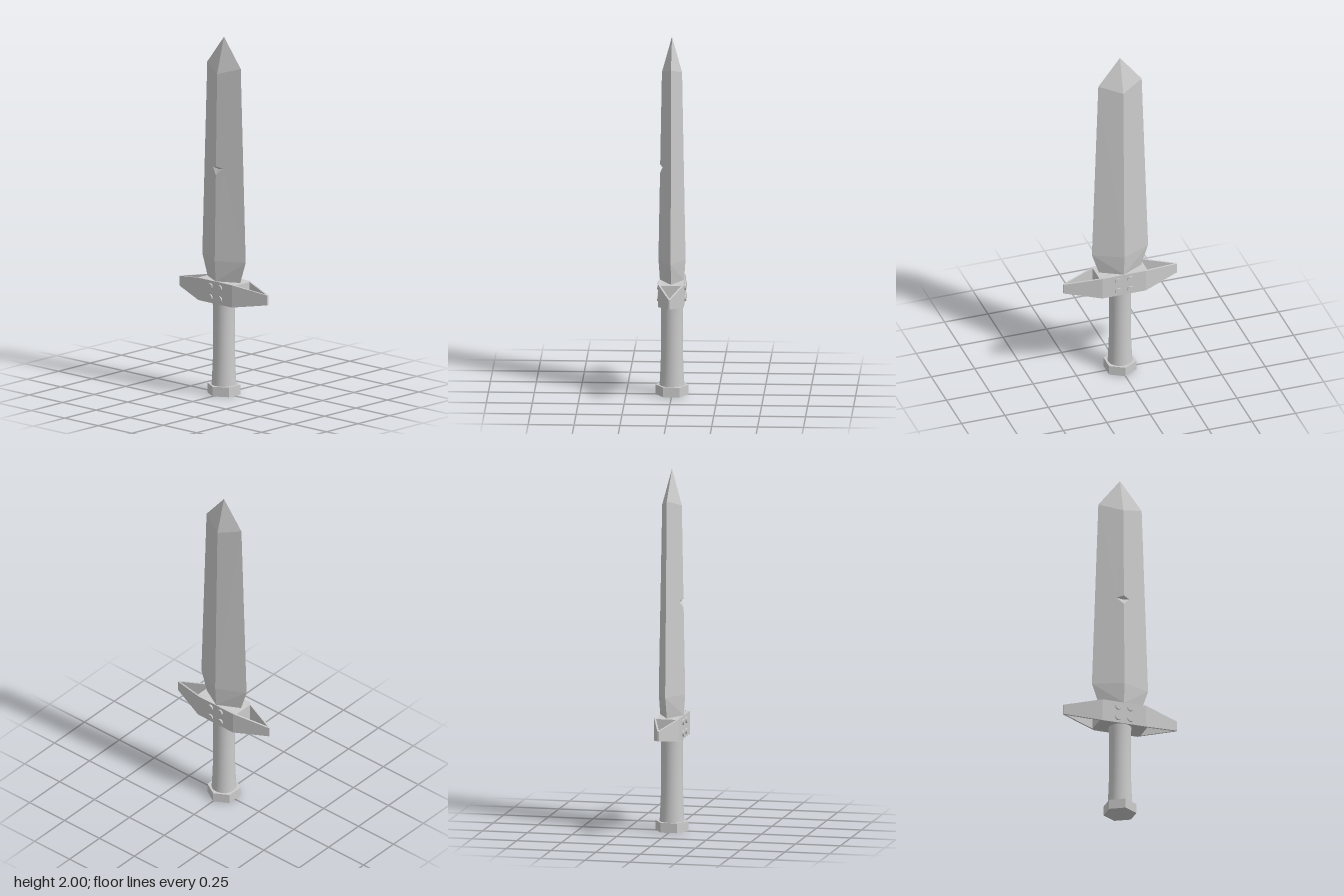
import * as THREE from 'three';

const smooth = new THREE.MeshStandardMaterial({ color: 0xcccccc });
const flat = new THREE.MeshStandardMaterial({ color: 0xcccccc, flatShading: true });

function add(group, name, geometry, material, x = 0, y = 0, z = 0) {
  const mesh = new THREE.Mesh(geometry, material);
  mesh.name = name;
  mesh.position.set(x, y, z);
  group.add(mesh);
  return mesh;
}

// Diamond-section blade; the front ridge carries a small chipped notch.
function bladeGeometry() {
  const edge = [[0.122, 0.64], [0.162, 0.76], [0.125, 1.84]].map(([x, y]) => new THREE.Vector3(x, y, 0));
  const ridge = [[0.64, 0.066], [0.755, 0.074], [1.8, 0.055]].map(([y, z]) => new THREE.Vector3(0, y, z));
  const tip = new THREE.Vector3(0, 2, 0);
  const onRidge = y => ridge[1].clone().lerp(ridge[2], (y - ridge[1].y) / (ridge[2].y - ridge[1].y));
  const positions = [];

  for (const sz of [1, -1]) for (const sx of [1, -1]) {
    // Mirrored triangle, wound so that it faces its own side of the blade
    const tri = (...corners) => {
      const p = corners.map(v => new THREE.Vector3(v.x * sx, v.y, v.z * sz));
      const n = p[1].clone().sub(p[0]).cross(p[2].clone().sub(p[0]));
      if (n.z * sz < 0) p.reverse();
      p.forEach(v => positions.push(v.x, v.y, v.z));
    };
    tri(ridge[0], edge[0], edge[1]);
    tri(ridge[0], edge[1], ridge[1]);
    tri(ridge[2], edge[2], tip);
    if (sz < 0) {
      tri(ridge[1], edge[1], edge[2]);
      tri(ridge[1], edge[2], ridge[2]);
      continue;
    }
    // Long front face, fanned around the notch
    const low = onRidge(1.235), high = onRidge(1.285);
    const deep = onRidge(1.268).setZ(0.047);
    const side = onRidge(1.274);
    side.x = 0.038;
    side.z *= 1 - side.x / 0.145;
    tri(edge[1], edge[2], side);
    tri(ridge[1], edge[1], side);
    tri(ridge[1], side, low);
    tri(edge[2], ridge[2], side);
    tri(high, side, ridge[2]);
    tri(low, side, deep);
    tri(side, high, deep);
  }
  const g = new THREE.BufferGeometry();
  g.setAttribute('position', new THREE.Float32BufferAttribute(positions, 3));
  g.computeVertexNormals();
  return g;
}

// Crossguard plan with a triangular opening in each arm, thinned toward the ends
function guardGeometry() {
  const bottom = 0.515, height = 0.125, mid = bottom + height / 2;
  const v = (x, y) => new THREE.Vector2(x, y);
  const shape = new THREE.Shape([
    v(0.125, -0.07), v(0.327, -0.005), v(0.327, 0.005), v(0.125, 0.07),
    v(-0.125, 0.07), v(-0.327, 0.005), v(-0.327, -0.005), v(-0.125, -0.07),
  ]);
  for (const s of [1, -1]) {
    shape.holes.push(new THREE.Path([v(s * 0.138, -0.056), v(s * 0.138, 0.056), v(s * 0.312, 0)]));
  }
  const g = new THREE.ExtrudeGeometry(shape, { depth: height, bevelEnabled: false });
  g.rotateX(-Math.PI / 2).translate(0, bottom, 0);
  const p = g.attributes.position;
  for (let i = 0; i < p.count; i++) {
    const t = Math.max(0, (Math.abs(p.getX(i)) - 0.125) / 0.202);
    p.setY(i, mid + (p.getY(i) - mid) * (1 - 0.56 * t));
  }
  g.computeVertexNormals();
  return g;
}

export function createModel() {
  const model = new THREE.Group();
  model.name = 'dagger';

  add(model, 'blade', bladeGeometry(), flat);
  add(model, 'crossguard', guardGeometry(), flat);

  // Round grip, slightly flared at the foot
  const profile = [[0.068, 0.05], [0.065, 0.1], [0.061, 0.2], [0.059, 0.33], [0.059, 0.44], [0.062, 0.52]];
  add(model, 'grip', new THREE.LatheGeometry(profile.map(([r, y]) => new THREE.Vector2(r, y)), 32), smooth);

  // Hexagonal pommel
  add(model, 'pommel', new THREE.CylinderGeometry(0.091, 0.091, 0.054, 6), flat, 0, 0.027, 0);

  // Four rivets on each face of the guard
  const rivet = new THREE.CylinderGeometry(0.017, 0.017, 0.016, 16).rotateX(Math.PI / 2);
  for (const z of [0.071, -0.071]) for (const x of [0.035, -0.035]) for (const y of [0.546, 0.609]) {
    add(model, 'rivet', rivet, smooth, x, y, z);
  }
  return model;
}
